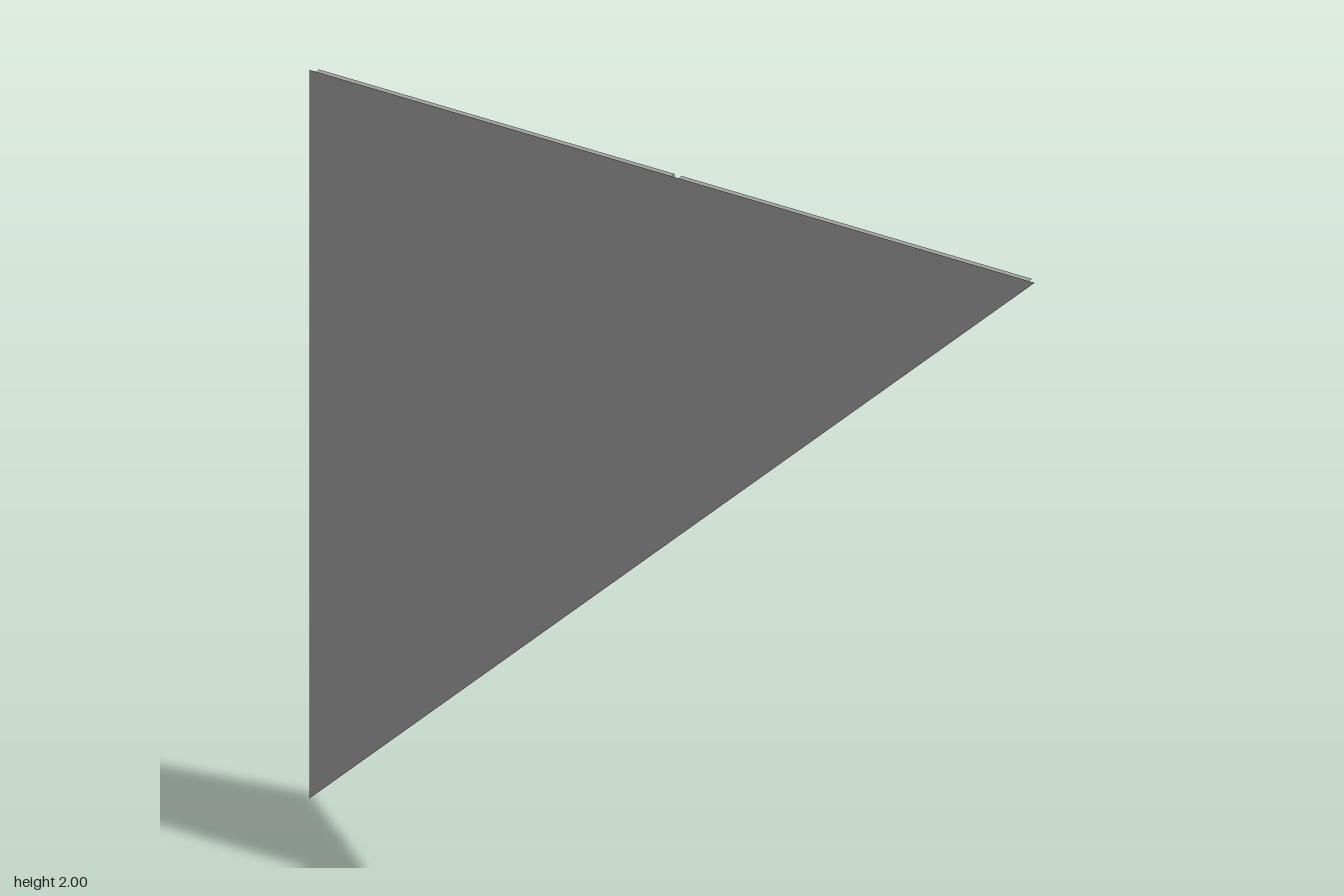
import * as THREE from 'three';

const FRONT = 0.014, BACK = -0.014, RIDGE = -0.010;
const GAP = 0.01, RIM = 0.055, FOOT = 0.09, TIP = 0.88;

const grey = new THREE.MeshStandardMaterial({ color: 0xa0a0a0, side: THREE.DoubleSide });
grey.name = 'plain grey';

// Solid rising backwards from a foot outline (on the sheet) to a top outline, with a flat cap
function prism(name, top, foot, zTop) {
  if (THREE.ShapeUtils.isClockWise(top)) {
    top = [...top].reverse();
    foot = [...foot].reverse();
  }
  const pos = [];
  const put = (p, z) => pos.push(p.x, p.y, z);
  for (const [a, b, c] of THREE.ShapeUtils.triangulateShape(top, [])) {
    for (const i of [c, b, a]) put(top[i], zTop);
  }
  top.forEach((a, i) => {
    const j = (i + 1) % top.length, b = top[j];
    put(a, zTop); put(b, zTop); put(foot[j], FRONT);
    put(a, zTop); put(foot[j], FRONT); put(foot[i], FRONT);
  });
  const geo = new THREE.BufferGeometry();
  geo.setAttribute('position', new THREE.Float32BufferAttribute(pos, 3));
  geo.computeVertexNormals();
  const mesh = new THREE.Mesh(geo, grey);
  mesh.name = name;
  return mesh;
}

// Right-angled panel back: a bracket along both legs and a low ridge along the long side.
// (cx, cy) is the square corner; turn = 1 runs right and down, -1 left and up.
function panel(name, cx, cy, turn, joined) {
  const h = joined ? 1 : 1 - GAP * Math.SQRT2;
  const place = pts => pts.map(([u, v]) => new THREE.Vector2(cx + turn * u, cy - turn * v));
  const bracket = (r, cut) => place([
    [GAP, GAP], [h - GAP, GAP], [TIP, h - TIP], [TIP, r], [cut, r],
    [r, cut], [r, TIP], [h - TIP, TIP], [GAP, h - GAP],
  ]);
  const strip = w => place([
    [TIP, h - TIP], [h - TIP, TIP], [h - TIP - w, TIP], [TIP, h - TIP - w],
  ]);
  const group = new THREE.Group();
  group.name = name;
  group.add(
    prism('legFrame', bracket(RIM, RIM + 0.045), bracket(FOOT, FOOT + 0.03), BACK),
    prism('diagonalRidge', strip(joined ? 0.015 : 0.025), strip(joined ? 0.035 : 0.05), RIDGE),
  );
  return group;
}

export function createModel() {
  const model = new THREE.Group();
  model.name = 'triangularPanel';

  // Smooth front sheet
  const outline = new THREE.Shape([[-1, 0], [1, 2], [-1, 2]].map(p => new THREE.Vector2(...p)));
  const sheet = new THREE.Mesh(new THREE.ShapeGeometry(outline), grey);
  sheet.name = 'frontSheet';
  sheet.position.z = FRONT;
  model.add(sheet);

  // Two outer triangles, and a square made from two joined triangles
  model.add(
    panel('upperPanel', 0, 2, 1, false),
    panel('lowerPanel', -1, 1, 1, false),
    panel('squarePanelUpperHalf', -1, 2, 1, true),
    panel('squarePanelLowerHalf', 0, 1, -1, true),
  );
  return model;
}
